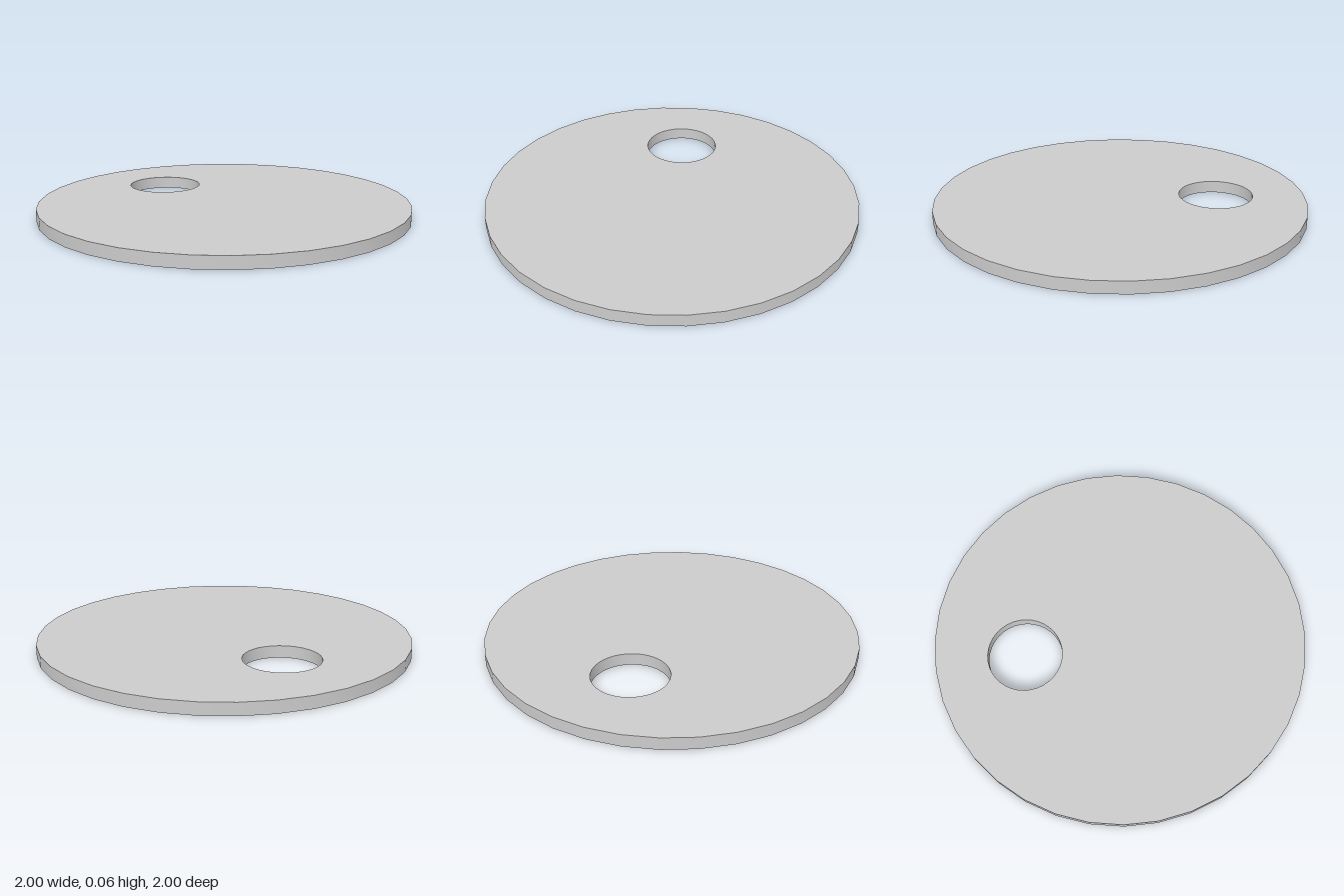
import * as THREE from 'three';
import { toCreasedNormals } from 'three/addons/utils/BufferGeometryUtils.js';

const RADIUS = 1, THICKNESS = 0.065;
const HOLE_RADIUS = 0.2, HOLE_OFFSET = 0.52;

export function createModel() {
  const group = new THREE.Group();
  group.name = 'discWithHole';

  // Round outline with an off-centre hole towards the back
  const outline = new THREE.Shape();
  outline.absarc(0, 0, RADIUS, 0, Math.PI * 2, false);
  const hole = new THREE.Path();
  hole.absarc(0, HOLE_OFFSET, HOLE_RADIUS, 0, Math.PI * 2, true);
  outline.holes.push(hole);

  // 18 curve segments give a full circle 36 sides
  const extruded = new THREE.ExtrudeGeometry(outline, {
    depth: THICKNESS, bevelEnabled: false, curveSegments: 18,
  });
  extruded.rotateX(-Math.PI / 2);

  // Smooth rims, sharp edges to the flat faces
  const disc = new THREE.Mesh(
    toCreasedNormals(extruded, Math.PI / 6),
    new THREE.MeshStandardMaterial({ color: 0xcccccc })
  );
  disc.name = 'disc';
  group.add(disc);
  return group;
}
